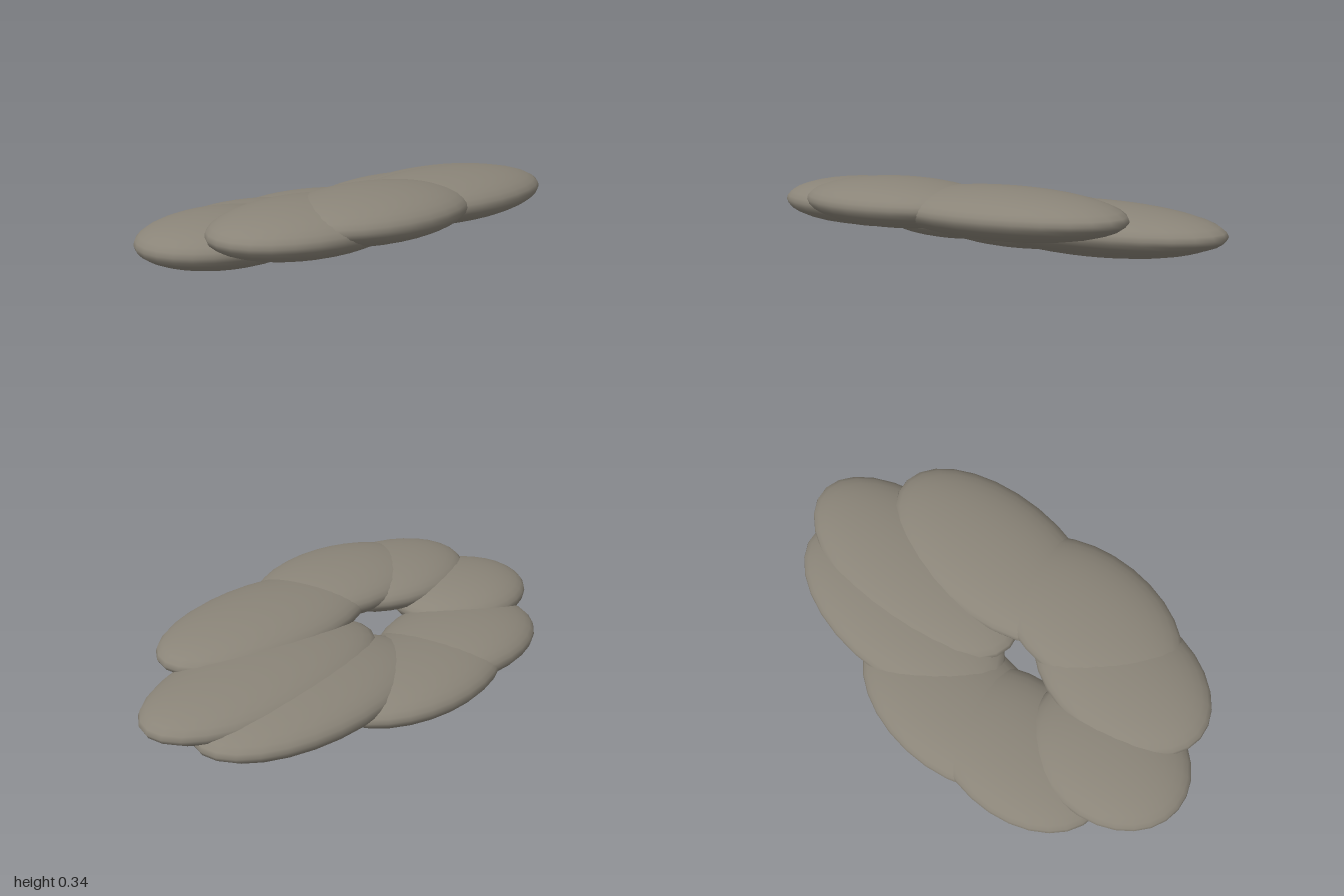
import * as THREE from 'three';

export function createModel() {
  const group = new THREE.Group();
  group.name = 'lobedRing';

  const stone = new THREE.MeshStandardMaterial({ color: 0x8a8478 });
  stone.name = 'warm grey stone';

  const lobeGeometry = new THREE.SphereGeometry(1, 28, 18);
  const halfHeight = 0.096;
  const halfDepth = 0.28;

  // Flattened lobes around a sloping ring: name, centre x, y, z, half width
  const lobes = [
    ['leftLobe', 0.45, 0.175, 0.0, 0.54],
    ['backLeftLobe', 0.37, 0.132, -0.16, 0.52],
    ['backLobe', -0.06, 0.097, -0.3, 0.45],
    ['backRightLobe', -0.38, 0.11, -0.265, 0.4],
    ['rightLobe', -0.66, 0.165, -0.05, 0.34],
    ['frontRightLobe', -0.495, 0.222, 0.208, 0.395],
    ['frontLobe', -0.25, 0.244, 0.292, 0.43],
    ['frontLeftLobe', 0.22, 0.234, 0.243, 0.51],
  ];

  for (const [name, x, y, z, halfWidth] of lobes) {
    const lobe = new THREE.Mesh(lobeGeometry, stone);
    lobe.name = name;
    lobe.position.set(x, y, z);
    lobe.scale.set(halfWidth, halfHeight, halfDepth);
    group.add(lobe);
  }

  return group;
}
